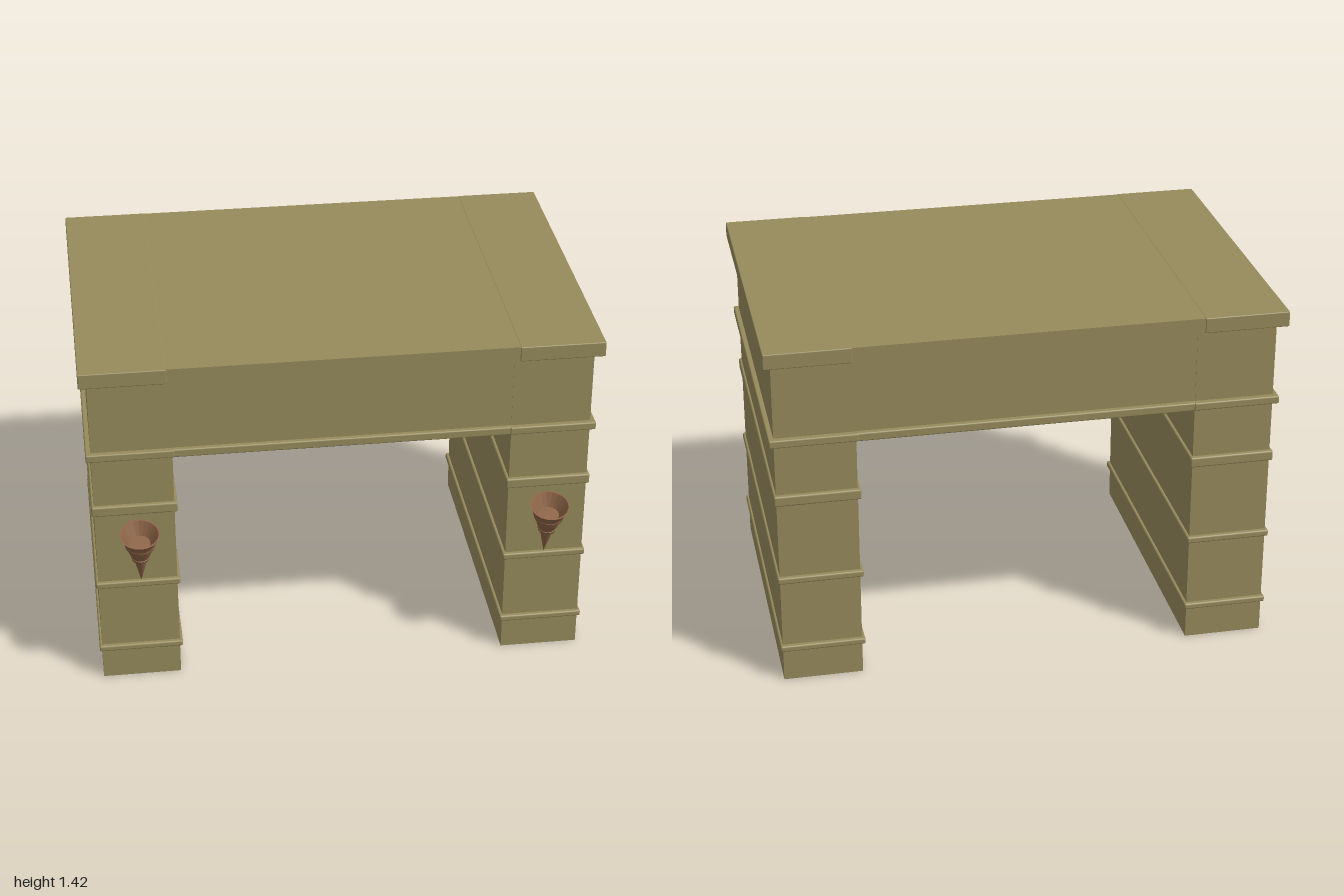
import * as THREE from 'three';
import { RoundedBoxGeometry } from 'three/addons/geometries/RoundedBoxGeometry.js';

const stone = new THREE.MeshStandardMaterial({ color: 0x968b5c });
const wood = new THREE.MeshStandardMaterial({ color: 0x8c6446, side: THREE.DoubleSide });

// Box given by its extents; an optional radius softens the edges.
function block(name, [x0, x1], [y0, y1], [z0, z1], radius = 0) {
  const w = x1 - x0, h = y1 - y0, d = z1 - z0;
  const geo = radius ? new RoundedBoxGeometry(w, h, d, 2, radius) : new THREE.BoxGeometry(w, h, d);
  const mesh = new THREE.Mesh(geo, stone);
  mesh.position.set((x0 + x1) / 2, (y0 + y1) / 2, (z0 + z1) / 2);
  mesh.name = name;
  return mesh;
}

// Hollow stepped cone leaning out from the wall on a small bracket.
function wallTorch() {
  const torch = new THREE.Group();
  torch.name = 'wallTorch';
  const profile = [
    [0, 0], [0.026, 0.125], [0.035, 0.13], [0.038, 0.145], [0.036, 0.147], [0.054, 0.2],
    [0.058, 0.203], [0.061, 0.217], [0.06, 0.22], [0.069, 0.245], [0.079, 0.264],
    [0.072, 0.264], [0.04, 0.212], [0, 0.212],
  ].map(([r, y]) => new THREE.Vector2(r, y));
  const geo = new THREE.LatheGeometry(profile, 20).toNonIndexed();
  geo.computeVertexNormals();
  const cone = new THREE.Mesh(geo, wood);
  cone.name = 'torchCone';
  cone.position.set(0, 0.493, 0.608);
  cone.rotation.x = 0.25;
  torch.add(cone);

  // Bracket: narrow at the cone, broader at the wall
  const bracket = new THREE.Mesh(new THREE.CylinderGeometry(0.005, 0.011, 0.09, 10), wood);
  bracket.name = 'torchBracket';
  bracket.position.set(0, 0.602, 0.594);
  bracket.rotation.x = Math.PI / 2 + 0.24;
  torch.add(bracket);
  return torch;
}

export function createModel() {
  const gate = new THREE.Group();
  gate.name = 'stoneGate';

  // Lintel, its moulding and the middle of the roof slab
  gate.add(block('lintel', [-0.66, 0.66], [1.022, 1.365], [-0.693, 0.553]));
  gate.add(block('lintelMoulding', [-0.66, 0.66], [1.02, 1.054], [-0.715, 0.572], 0.006));
  gate.add(block('roofSlab', [-0.675, 0.675], [1.36, 1.42], [-0.747, 0.597]));

  // Moulding bands: bottom, top
  const bands = [[0.133, 0.158], [0.435, 0.462], [0.773, 0.815]];

  for (const s of [-1, 1]) {
    const span = (a, b) => (s > 0 ? [a, b] : [-b, -a]);
    const side = new THREE.Group();
    side.name = s > 0 ? 'leftPier' : 'rightPier';
    side.add(block('pier', span(0.657, 0.968), [0, 1.365], [-0.695, 0.555]));
    for (const band of bands) {
      side.add(block('pierMoulding', span(0.645, 0.978), band, [-0.713, 0.572], 0.007));
    }
    side.add(block('upperMoulding', span(0.65, 0.988), [1.022, 1.054], [-0.719, 0.577], 0.006));
    side.add(block('roofEnd', span(0.67, 1), [1.36, 1.421], [-0.75, 0.602], 0.004));
    const torch = wallTorch();
    torch.position.x = s * 0.8;
    side.add(torch);
    gate.add(side);
  }
  return gate;
}
